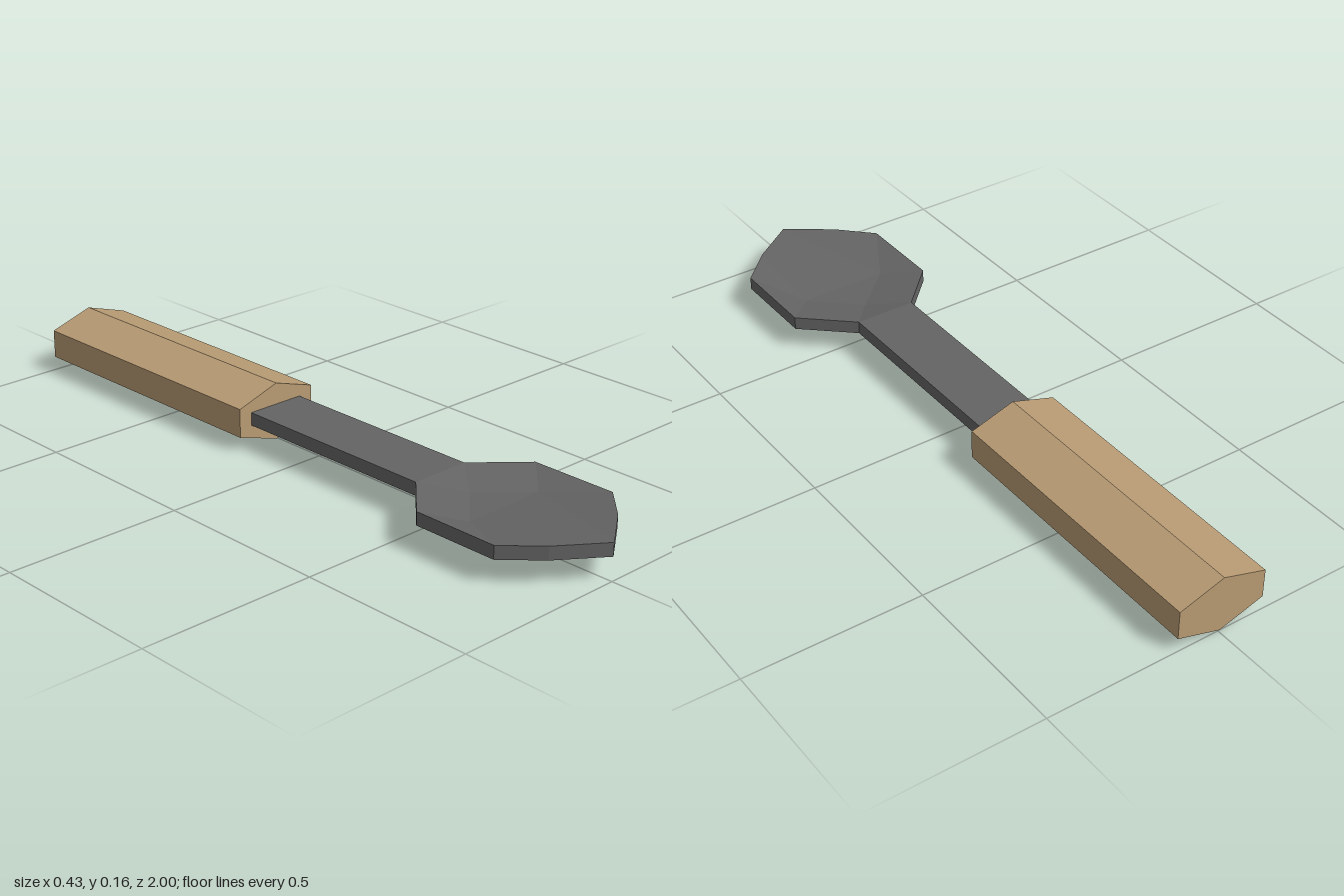
import * as THREE from 'three';

const wood = new THREE.MeshStandardMaterial({ color: 0xb89b74 });
wood.name = 'wood';
const steel = new THREE.MeshStandardMaterial({ color: 0x646464 });
steel.name = 'dark steel';

// Straight bar along z from an [x, y] cross-section
function bar(name, section, z0, z1, material) {
  const shape = new THREE.Shape(section.map(([x, y]) => new THREE.Vector2(x, y)));
  const geometry = new THREE.ExtrudeGeometry(shape, { depth: z1 - z0, bevelEnabled: false });
  geometry.translate(0, 0, z0);
  const mesh = new THREE.Mesh(geometry, material);
  mesh.name = name;
  return mesh;
}

// Faceted scoop: a rim loop and three sunken floor points, given a constant thickness
function scoop() {
  const rim = [
    [0.08, 0.45], [0.215, 0.57], [0.215, 0.82], [0.125, 0.91], [0, 1],
    [-0.125, 0.91], [-0.215, 0.82], [-0.215, 0.57], [-0.095, 0.45],
  ];
  const floor = [[0, 0.545], [0.125, 0.66], [-0.125, 0.66]];
  const depth = 0.025;
  const layer = (y) => [
    ...rim.map(([x, z]) => [x, y, z]),
    ...floor.map(([x, z]) => [x, y - depth, z]),
  ];
  const positions = [...layer(0.102), ...layer(0.065)].flat();
  const n = rim.length;
  const count = n + floor.length;
  const [back, left, right] = [n, n + 1, n + 2];

  const faces = [
    [0, 1, left], [0, left, back], [8, 0, back], [8, back, right], [7, 8, right],
    [1, 2, left], [2, 3, left], [3, 4, left],
    [4, 5, right], [5, 6, right], [6, 7, right],
    [4, right, left], [right, back, left],
  ];
  const index = [];
  for (const [a, b, c] of faces) {
    index.push(a, c, b); // inside of the scoop
    index.push(a + count, b + count, c + count); // underside
  }
  for (let i = 0; i < n; i++) {
    const j = (i + 1) % n;
    index.push(i, j, j + count, i, j + count, i + count); // edge wall
  }

  const indexed = new THREE.BufferGeometry();
  indexed.setAttribute('position', new THREE.Float32BufferAttribute(positions, 3));
  indexed.setIndex(index);
  const geometry = indexed.toNonIndexed();
  geometry.computeVertexNormals();
  const mesh = new THREE.Mesh(geometry, steel);
  mesh.name = 'scoop';
  return mesh;
}

export function createModel() {
  const model = new THREE.Group();
  model.name = 'spoon';

  // Six-sided wooden grip
  model.add(bar('handle', [
    [-0.005, 0], [0.124, 0.04], [0.124, 0.122],
    [-0.005, 0.163], [-0.135, 0.122], [-0.135, 0.04],
  ], -1, -0.165, wood));

  // Flat metal neck between grip and scoop
  model.add(bar('neck', [
    [-0.095, 0.065], [0.08, 0.065], [0.08, 0.102], [-0.095, 0.102],
  ], -0.165, 0.45, steel));

  model.add(scoop());
  return model;
}
